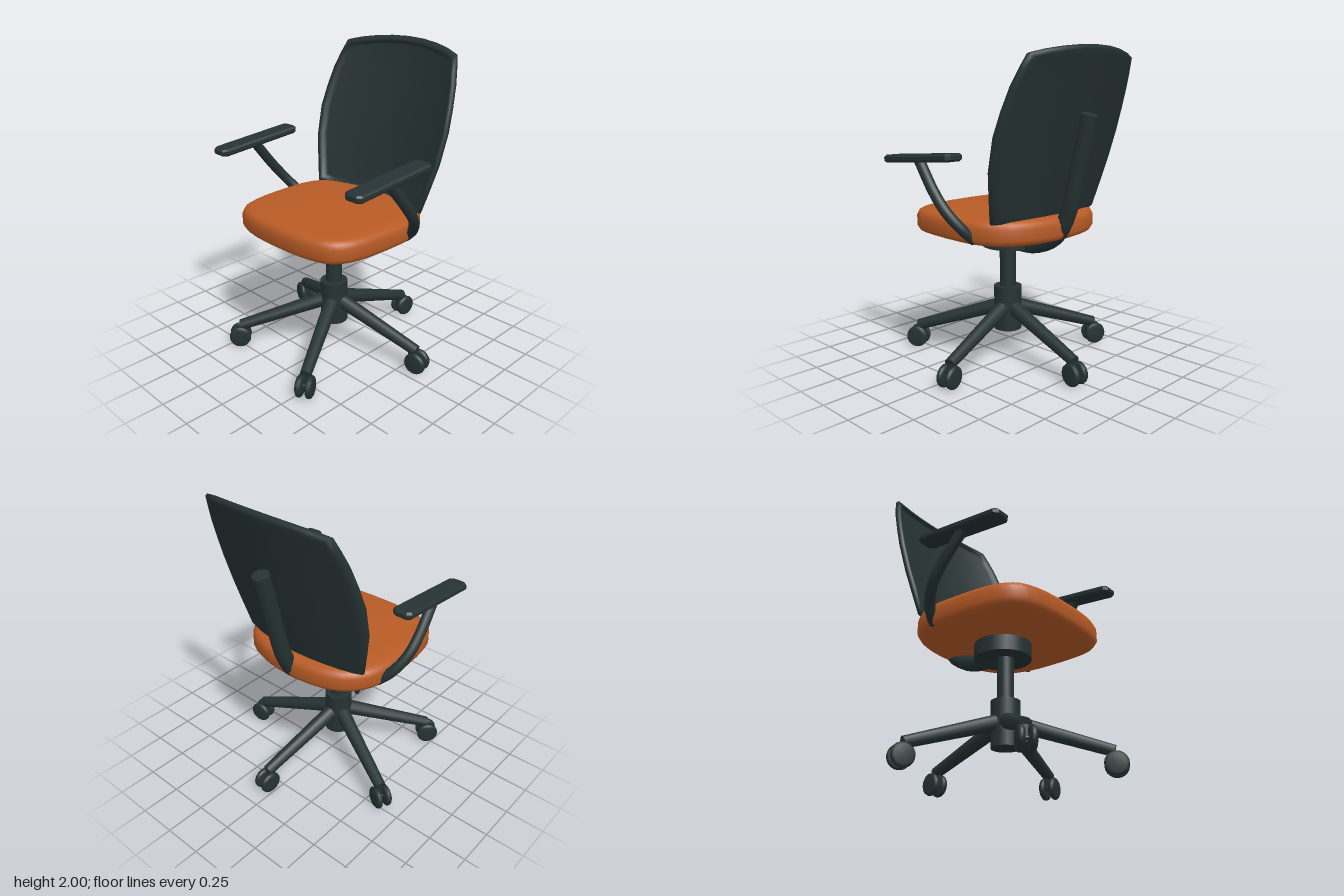
import * as THREE from 'three';
import { mergeGeometries } from 'three/addons/utils/BufferGeometryUtils.js';

const CX = -0.02, CZ = 0.04; // axis of the swivel column

export function createModel() {
  const model = new THREE.Group();
  model.name = 'officeChair';
  const dark = new THREE.MeshStandardMaterial({ color: 0x263233 });
  dark.name = 'dark slate';
  const orange = new THREE.MeshStandardMaterial({ color: 0xb85b26 });
  orange.name = 'burnt orange';

  function add(name, geometry, material, parent = model, x = 0, y = 0, z = 0) {
    const mesh = new THREE.Mesh(geometry, material);
    mesh.name = name;
    mesh.position.set(x, y, z);
    parent.add(mesh);
    return mesh;
  }

  // Closes a half outline by mirroring it across x = 0
  function mirrorOutline(half) {
    const other = half.slice(1, -1).reverse().map(([x, v]) => [-x, v]);
    return half.concat(other);
  }

  // Skin over rings that all have the same number of points
  function loft(rings) {
    const n = rings[0].length, index = [];
    for (let i = 0; i < rings.length - 1; i++) {
      for (let j = 0; j < n; j++) {
        const a = i * n + j, b = i * n + (j + 1) % n;
        index.push(a, b, a + n, b, b + n, a + n);
      }
    }
    const g = new THREE.BufferGeometry();
    g.setAttribute('position', new THREE.Float32BufferAttribute(rings.flat(2), 3));
    g.setIndex(index);
    g.computeVertexNormals();
    return g;
  }

  // Round tube through points, with flat end caps
  function cappedTube(points, radius, sides) {
    const curve = new THREE.CatmullRomCurve3(points.map(p => new THREE.Vector3(...p)));
    const parts = [new THREE.TubeGeometry(curve, 24, radius, sides)];
    for (const t of [0, 1]) {
      const dir = curve.getTangent(t).multiplyScalar(t ? 1 : -1);
      const cap = new THREE.CircleGeometry(radius, sides);
      cap.applyQuaternion(new THREE.Quaternion().setFromUnitVectors(new THREE.Vector3(0, 0, 1), dir));
      const p = curve.getPoint(t);
      parts.push(cap.translate(p.x, p.y, p.z));
    }
    return mergeGeometries(parts);
  }

  // Seat cushion: rounded outline stacked at [scale, height]
  const seatHalf = [[0, 0.53], [0.25, 0.515], [0.39, 0.47], [0.455, 0.395], [0.49, 0.28],
    [0.508, 0], [0.5, -0.14], [0.46, -0.26], [0.36, -0.37], [0.2, -0.43], [0, -0.45]];
  const seatCurve = new THREE.CatmullRomCurve3(
    mirrorOutline(seatHalf).map(([x, z]) => new THREE.Vector3(x, 0, z)), true);
  const seatOutline = seatCurve.getPoints(48).slice(0, -1);
  const seatRings = [[0, 0.853], [0.6, 0.853], [0.91, 0.855], [0.97, 0.868], [1, 0.895], [1, 0.96],
    [0.975, 0.988], [0.93, 1.003], [0.85, 1.01], [0.5, 1.016], [0, 1.02]]
    .map(([s, y]) => seatOutline.map(p => [CX + p.x * s, y, CZ + (p.z - CZ) * s]));
  add('seat', loft(seatRings), orange);

  // Backrest: curved, leaning panel with a raised rim, rings as [scale, depth]
  const backHalf = [[0, 2], [0.13, 1.996], [0.25, 1.985], [0.36, 1.968], [0.455, 1.945], [0.482, 1.87],
    [0.51, 1.775], [0.532, 1.64], [0.545, 1.5], [0.53, 1.3], [0.495, 1.15], [0.455, 0.99],
    [0.36, 0.98], [0.25, 0.975], [0.13, 0.97], [0, 0.97]];
  const backOutline = mirrorOutline(backHalf);
  const midY = 1.48;
  const backRings = [[0, -0.025], [0.3, -0.025], [0.6, -0.025], [0.89, -0.025], [0.92, -0.018], [0.93, -0.004],
    [0.955, 0], [0.985, -0.008], [1, -0.028], [0.985, -0.045], [0.95, -0.053], [0.9, -0.05],
    [0.6, -0.05], [0.3, -0.05], [0, -0.05]]
    .map(([s, depth]) => backOutline.map(([px, py]) => {
      const x = px * s, y = midY + (py - midY) * s;
      return [CX + x, y, -0.325 + 0.08 * (x / 0.455) ** 2 - 0.3 * (y - 1) + depth];
    }));
  add('backrest', loft(backRings), dark);

  // Bent bar carrying the backrest
  add('backSupport', cappedTube([[CX, 0.8, 0.02], [CX, 0.78, -0.1], [CX, 0.8, -0.25], [CX, 0.88, -0.38],
    [CX, 1.03, -0.465], [CX, 1.3, -0.535], [CX, 1.615, -0.612]], 0.052, 10), dark);

  // Swivel column
  const cyl = (r, h) => new THREE.CylinderGeometry(r, r, h, 24);
  add('seatMount', cyl(0.18, 0.105), dark, model, CX, 0.807, 0.02);
  add('column', cyl(0.053, 0.32), dark, model, CX, 0.62, CZ);
  add('baseHub', cyl(0.09, 0.29), dark, model, CX, 0.335, CZ);

  // Armrests: chamfered pad on a bent post
  const w = 0.065, l = 0.31, c = 0.025;
  const padShape = new THREE.Shape([[-w + c, -l], [w - c, -l], [w, -l + c], [w, l - c],
    [w - c, l], [-w + c, l], [-w, l - c], [-w, -l + c]].map(p => new THREE.Vector2(...p)));
  const padGeometry = new THREE.ExtrudeGeometry(padShape, {
    depth: 0.022, bevelEnabled: true, bevelThickness: 0.012, bevelSize: 0.012, bevelOffset: -0.012, bevelSegments: 1,
  }).translate(0, 0, -0.011).rotateX(-Math.PI / 2);
  for (const side of [1, -1]) {
    const arm = new THREE.Group();
    arm.name = side > 0 ? 'leftArmrest' : 'rightArmrest';
    arm.position.x = CX;
    model.add(arm);
    const pad = add('armPad', padGeometry, dark, arm, side * 0.584, 1.353, 0.18);
    pad.rotation.x = 0.08;
    add('armPost', cappedTube([[side * 0.455, 0.88, -0.14], [side * 0.535, 0.96, -0.105],
      [side * 0.59, 1.06, -0.035], [side * 0.603, 1.17, 0.055], [side * 0.592, 1.335, 0.19]], 0.033, 10), dark, arm);
  }

  // Five-legged base with twin-wheel casters
  const wheelGeometry = new THREE.LatheGeometry([[0, -0.02], [0.056, -0.02], [0.069, -0.011], [0.072, 0],
    [0.069, 0.011], [0.056, 0.02], [0, 0.02]].map(p => new THREE.Vector2(...p)), 20).rotateX(Math.PI / 2);
  const legGeometry = new THREE.CylinderGeometry(0.036, 0.05, Math.hypot(0.6, 0.2), 12);
  for (let i = 0; i < 5; i++) {
    const leg = new THREE.Group();
    leg.name = 'baseLeg' + (i + 1);
    leg.position.set(CX, 0, CZ);
    leg.rotation.y = -THREE.MathUtils.degToRad(-11.5 + 72 * i);
    model.add(leg);
    const bar = add('legBar', legGeometry, dark, leg, 0.33, 0.25, 0);
    bar.rotation.z = Math.atan2(-0.6, -0.2);
    add('casterStem', new THREE.BoxGeometry(0.05, 0.1, 0.03), dark, leg, 0.605, 0.11, 0);
    const axle = add('casterAxle', cyl(0.014, 0.07), dark, leg, 0.637, 0.077, 0);
    axle.rotation.x = Math.PI / 2;
    for (const s of [1, -1]) add('casterWheel', wheelGeometry, dark, leg, 0.637, 0.074, s * 0.032);
  }
  return model;
}
